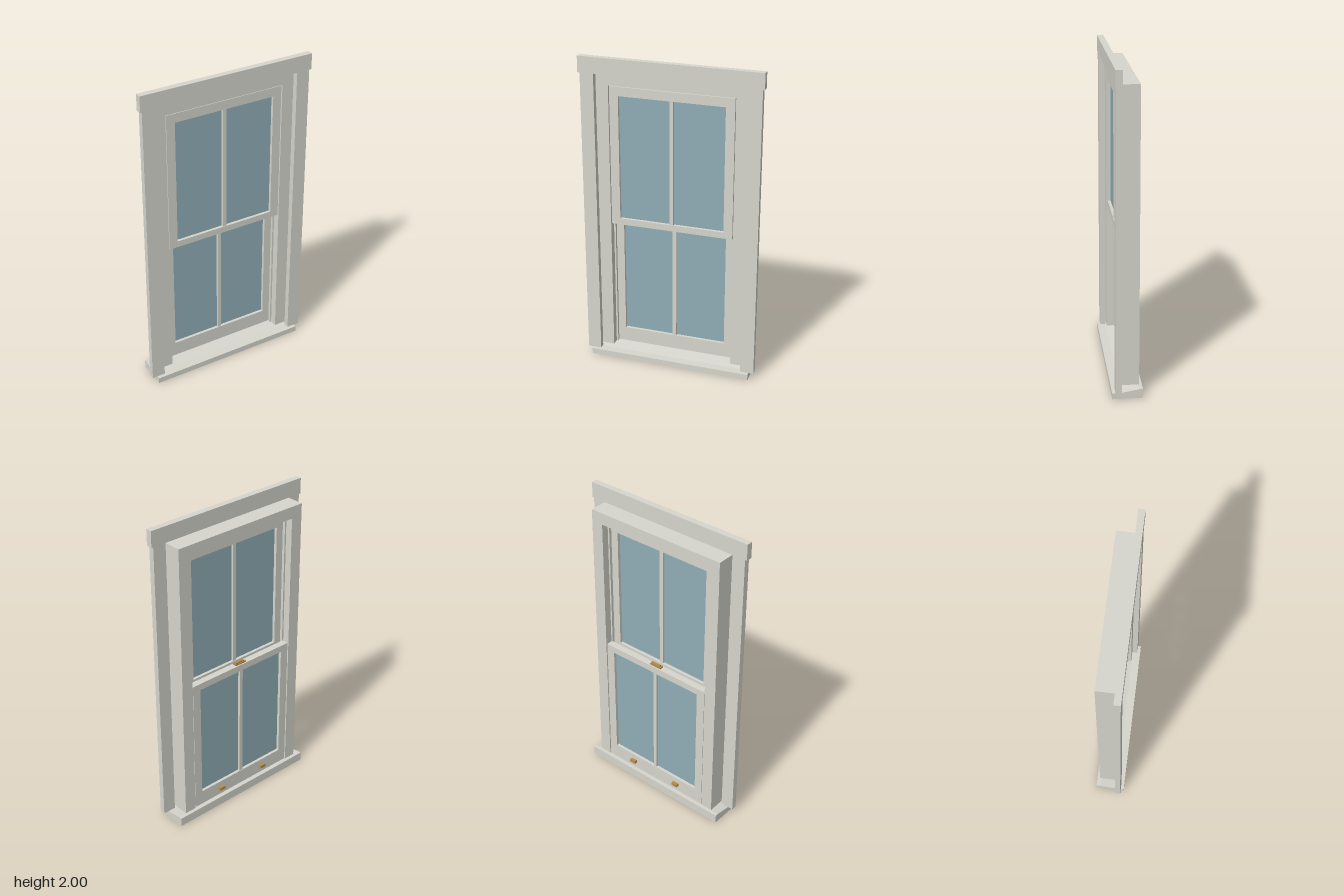
import * as THREE from 'three';

const paint = new THREE.MeshStandardMaterial({ name: 'warm grey paint', color: 0xd6d6cd });
const glass = new THREE.MeshStandardMaterial({ name: 'blue grey glass', color: 0x90aeb7 });
const brass = new THREE.MeshStandardMaterial({ name: 'brass', color: 0xb88c4a });

function add(parent, name, geometry, material) {
  const mesh = new THREE.Mesh(geometry, material);
  mesh.name = name;
  parent.add(mesh);
  return mesh;
}

// Box given by its lower and upper limits on each axis
function block(parent, name, [x0, x1], [y0, y1], [z0, z1], material = paint) {
  const mesh = add(parent, name, new THREE.BoxGeometry(x1 - x0, y1 - y0, z1 - z0), material);
  mesh.position.set((x0 + x1) / 2, (y0 + y1) / 2, (z0 + z1) / 2);
  return mesh;
}

function outline(points, Type = THREE.Shape) {
  return new Type(points.map(([x, y]) => new THREE.Vector2(x, y)));
}

const rect = (x0, x1, y0, y1) => [[x0, y0], [x1, y0], [x1, y1], [x0, y1]];

// Flat shape in x and y, extruded from z0 to z1
function slab(shape, z0, z1) {
  return new THREE.ExtrudeGeometry(shape, { depth: z1 - z0, bevelEnabled: false }).translate(0, 0, z0);
}

// Three-sided frame, open at the bottom
function arch(outer, inner, bottom, outerTop, innerTop) {
  return outline([[-outer, bottom], [-inner, bottom], [-inner, innerTop], [inner, innerTop],
    [inner, bottom], [outer, bottom], [outer, outerTop], [-outer, outerTop]]);
}

// Sash with two panes either side of a glazing bar
function makeSash(name, y0, y1, paneBottom, paneTop, z0, z1) {
  const sash = new THREE.Group();
  sash.name = name;
  const half = 0.389, paneEdge = 0.333, bar = 0.012;
  const shape = outline(rect(-half, half, y0, y1));
  shape.holes.push(outline(rect(-paneEdge, paneEdge, paneBottom, paneTop).reverse(), THREE.Path));
  add(sash, 'sashFrame', slab(shape, z0, z1), paint);
  block(sash, 'glazingBar', [-bar, bar], [paneBottom, paneTop], [z0 + 0.004, z1 - 0.004]);
  const mid = (z0 + z1) / 2;
  for (const side of [-1, 1]) {
    const xs = [side * bar, side * paneEdge].sort((a, b) => a - b);
    block(sash, side < 0 ? 'rightPane' : 'leftPane', xs, [paneBottom, paneTop], [mid - 0.003, mid + 0.003], glass);
  }
  return sash;
}

export function createModel() {
  const model = new THREE.Group();
  model.name = 'sashWindow';

  // Sill with a sloped top, profile drawn in z and y
  const profile = outline([[-0.093, 0], [0.093, 0], [0.093, 0.037], [0.04, 0.039], [-0.07, 0.058], [-0.093, 0.058]]);
  const sill = new THREE.ExtrudeGeometry(profile, { depth: 1.05, bevelEnabled: false });
  sill.rotateY(-Math.PI / 2).translate(0.525, 0, 0);
  // The turn maps the profile's x axis onto z
  add(model, 'sill', sill, paint);

  // Outer trim
  for (const side of [-1, 1]) {
    const xs = [side * 0.472, side * 0.558].sort((a, b) => a - b);
    block(model, side < 0 ? 'rightCasing' : 'leftCasing', xs, [0.04, 1.9], [0.037, 0.073]);
  }
  block(model, 'headCasing', [-0.57, 0.57], [1.9, 2], [0.037, 0.077]);

  // Jamb frame and the bead that parts the two sashes
  add(model, 'jambFrame', slab(arch(0.472, 0.394, 0.063, 1.9, 1.824), -0.075, 0.037), paint);
  add(model, 'partingBead', slab(arch(0.396, 0.383, 0.063, 1.826, 1.813), -0.028, -0.01), paint);

  // Upper sash sits in front, lower sash behind
  model.add(makeSash('upperSash', 0.93, 1.82, 0.97, 1.763, -0.01, 0.034));
  model.add(makeSash('lowerSash', 0.067, 0.97, 0.163, 0.927, -0.072, -0.028));

  // Sash lock on the meeting rail
  const lock = new THREE.Group();
  lock.name = 'sashLock';
  block(lock, 'lockBase', [-0.04, 0.04], [0.97, 0.979], [-0.064, -0.036], brass);
  block(lock, 'lockLever', [-0.03, 0.038], [0.979, 0.988], [-0.061, -0.045], brass);
  model.add(lock);

  // Finger lifts on the bottom rail
  for (const x of [-0.178, 0.178]) {
    block(model, 'fingerLift', [x - 0.021, x + 0.021], [0.107, 0.127], [-0.092, -0.072], brass);
  }
  return model;
}
